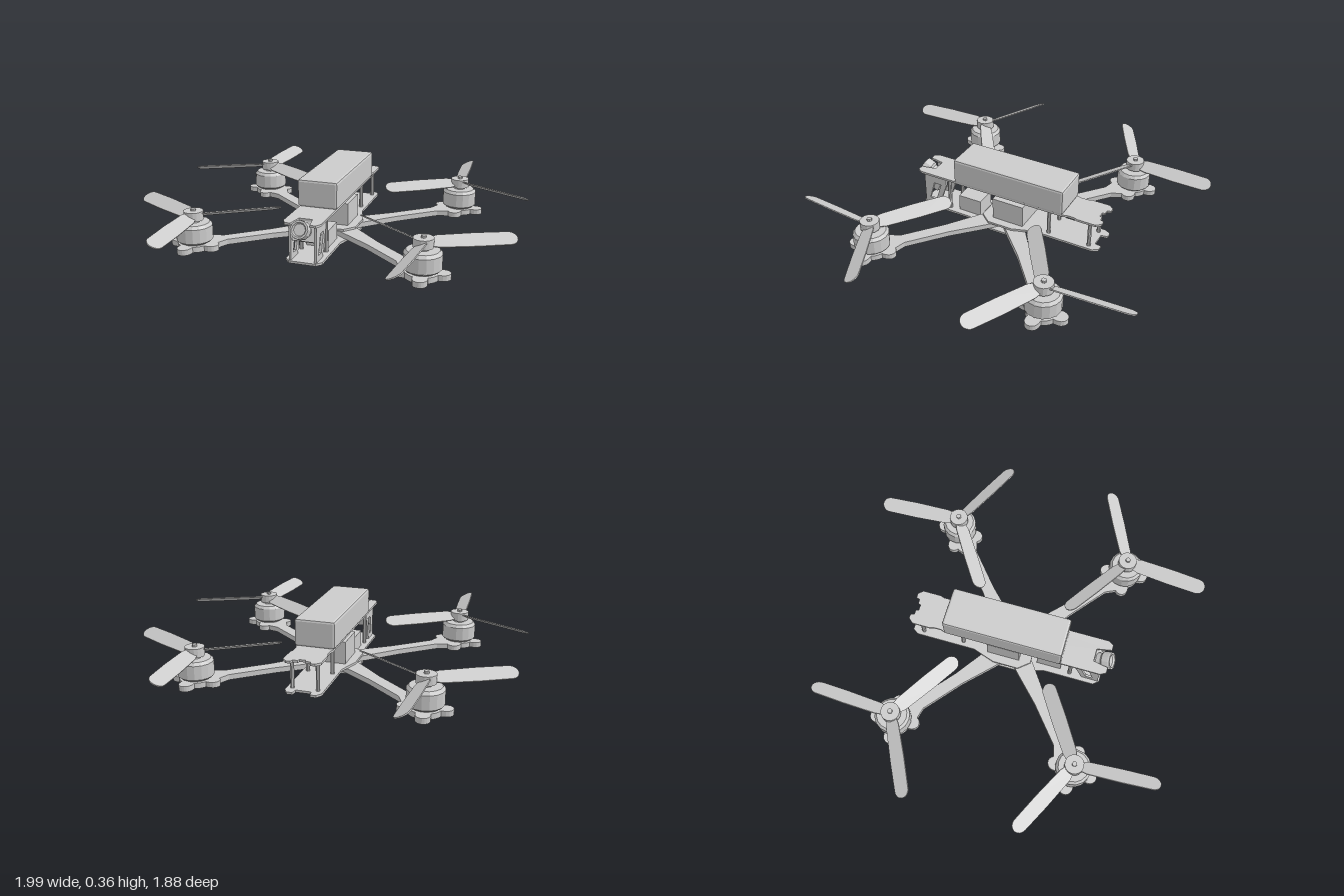
import * as THREE from 'three';
import { RoundedBoxGeometry } from 'three/addons/geometries/RoundedBoxGeometry.js';

const material = new THREE.MeshStandardMaterial({ color: 0xcccccc, flatShading: true });
const rad = THREE.MathUtils.degToRad;

function add(parent, name, geometry, x = 0, y = 0, z = 0) {
  const mesh = new THREE.Mesh(geometry, material);
  mesh.name = name;
  mesh.position.set(x, y, z);
  parent.add(mesh);
  return mesh;
}

const shapeOf = (points) => new THREE.Shape(points.map(([x, y]) => new THREE.Vector2(x, y)));

// Flat plate from an outline in x and z, lying between two heights
function plate(points, bottom, top) {
  const g = new THREE.ExtrudeGeometry(shapeOf(points), { depth: top - bottom, bevelEnabled: false });
  return g.rotateX(Math.PI / 2).translate(0, top, 0);
}

// Full outline from its +x half
const mirrored = (half) => [...half, ...half.slice().reverse().map(([x, z]) => [-x, z])];

// Arm along +x ending in a four-lobed motor mount
function armGeometry(length) {
  const pts = [[0, -0.055], [0.16, -0.05], [0.36, -0.034], [length - 0.16, -0.034]];
  for (let a = -150; a <= 150; a += 5) {
    const lobe = Math.max(0, -Math.cos(rad(4 * a)));
    const r = 0.085 + 0.05 * Math.pow(lobe, 0.5);
    pts.push([length + r * Math.cos(rad(a)), r * Math.sin(rad(a))]);
  }
  pts.push([length - 0.16, 0.034], [0.36, 0.034], [0.16, 0.05], [0, 0.055]);
  return plate(pts, 0.013, 0.042);
}

// Thin blade along +x with a rounded tip, pitched about its length
function bladeGeometry(pitch) {
  const pts = [[0.02, -0.025], [0.07, -0.038], [0.25, -0.042]];
  for (let a = -90; a <= 90; a += 15) pts.push([0.405 + 0.042 * Math.cos(rad(a)), 0.04 * Math.sin(rad(a))]);
  pts.push([0.25, 0.042], [0.07, 0.038], [0.02, 0.025]);
  return plate(pts, -0.003, 0.003).rotateX(pitch);
}

function motorGeometry() {
  const profile = [[0, 0.042], [0.068, 0.042], [0.068, 0.05], [0.082, 0.05], [0.093, 0.06], [0.093, 0.086],
    [0.093, 0.134], [0.08, 0.15], [0.03, 0.15], [0.03, 0.165], [0, 0.165]];
  return new THREE.LatheGeometry(profile.map(([x, y]) => new THREE.Vector2(x, y)), 16);
}

export function createModel() {
  const model = new THREE.Group();
  model.name = 'quadcopter';

  // Frame plates: lower at the front, middle at the back, top over everything
  add(model, 'lowerPlate', plate(mirrored([
    [0.07, 0.51], [0.095, 0.48], [0.095, 0.2], [0.135, 0.07], [0.135, -0.06], [0.09, -0.13],
  ]), 0, 0.012));
  add(model, 'middlePlate', plate(mirrored([
    [0.085, 0.12], [0.135, 0.06], [0.135, -0.08], [0.095, -0.2], [0.095, -0.53], [0.075, -0.56],
    [0.045, -0.56], [0.04, -0.525],
  ]), 0.042, 0.054));
  add(model, 'topPlate', plate(mirrored([
    [0.035, 0.45], [0.05, 0.53], [0.08, 0.53], [0.097, 0.5], [0.097, -0.36], [0.09, -0.38], [0.09, -0.42],
    [0.097, -0.44], [0.097, -0.54], [0.075, -0.565], [0.05, -0.565], [0.045, -0.545], [0.02, -0.545], [0.015, -0.53],
  ]), 0.205, 0.217));

  // Battery and electronics
  add(model, 'battery', new RoundedBoxGeometry(0.212, 0.143, 0.645, 1, 0.012), 0, 0.288, -0.037);
  add(model, 'flightControllerStack', new THREE.BoxGeometry(0.18, 0.125, 0.18), 0, 0.113, -0.035);
  add(model, 'radioModule', new THREE.BoxGeometry(0.12, 0.092, 0.135), 0, 0.058, 0.218);

  // Standoffs
  for (const side of [-1, 1]) {
    for (const [z, bottom] of [[0.34, 0.012], [-0.27, 0.054], [-0.5, 0.054]]) {
      const h = 0.205 - bottom;
      add(model, 'standoff', new THREE.CylinderGeometry(0.011, 0.011, h, 8), side * 0.066, bottom + h / 2, z);
    }

    // Windowed camera side plate, outlined in z and y
    const cheek = shapeOf([[0.41, 0.01], [0.5, 0.01], [0.5, 0.205], [0.36, 0.205], [0.36, 0.15]]);
    cheek.holes.push(new THREE.Path([[0.43, 0.04], [0.395, 0.145], [0.44, 0.145], [0.47, 0.04]]
      .map(([z, y]) => new THREE.Vector2(z, y))));
    const g = new THREE.ExtrudeGeometry(cheek, { depth: 0.012, bevelEnabled: false });
    g.rotateY(-Math.PI / 2).translate(0.006, 0, 0);
    add(model, 'cameraSidePlate', g, side * 0.066, 0, 0);
  }

  // Tilted front camera
  const camera = new THREE.Group();
  camera.name = 'camera';
  camera.position.set(0, 0.15, 0.45);
  camera.rotation.x = -rad(25);
  model.add(camera);
  add(camera, 'cameraBody', new THREE.BoxGeometry(0.115, 0.1, 0.07), 0, 0, -0.01);
  const lens = [[0, 0.095], [0.03, 0.095], [0.036, 0.105], [0.046, 0.105], [0.048, 0.095], [0.048, 0.06], [0.038, 0.05], [0.038, 0.01]];
  const lensGeometry = new THREE.LatheGeometry(lens.reverse().map(([x, y]) => new THREE.Vector2(x, y)), 12);
  add(camera, 'lens', lensGeometry.rotateX(Math.PI / 2));

  // Arms, motors and propellers at the four corners
  const corners = [
    { x: 0.59, z: 0.49, spin: 1, angle: 95 },
    { x: -0.59, z: 0.49, spin: -1, angle: 87 },
    { x: 0.59, z: -0.495, spin: -1, angle: -93 },
    { x: -0.59, z: -0.495, spin: 1, angle: -87 },
  ];
  for (const { x, z, spin, angle } of corners) {
    const arm = add(model, 'arm', armGeometry(Math.hypot(x, z)));
    arm.rotation.y = -Math.atan2(z, x);
    add(model, 'motor', motorGeometry(), x, 0, z);

    const propeller = new THREE.Group();
    propeller.name = 'propeller';
    propeller.position.set(x, 0.185, z);
    model.add(propeller);
    add(propeller, 'hub', new THREE.CylinderGeometry(0.05, 0.05, 0.046, 16));
    add(propeller, 'shaft', new THREE.CylinderGeometry(0.013, 0.013, 0.07, 8));
    for (let i = 0; i < 3; i++) {
      const blade = add(propeller, 'blade', bladeGeometry(spin * rad(27)));
      blade.rotation.y = -rad(angle + 120 * i);
    }
  }
  return model;
}
